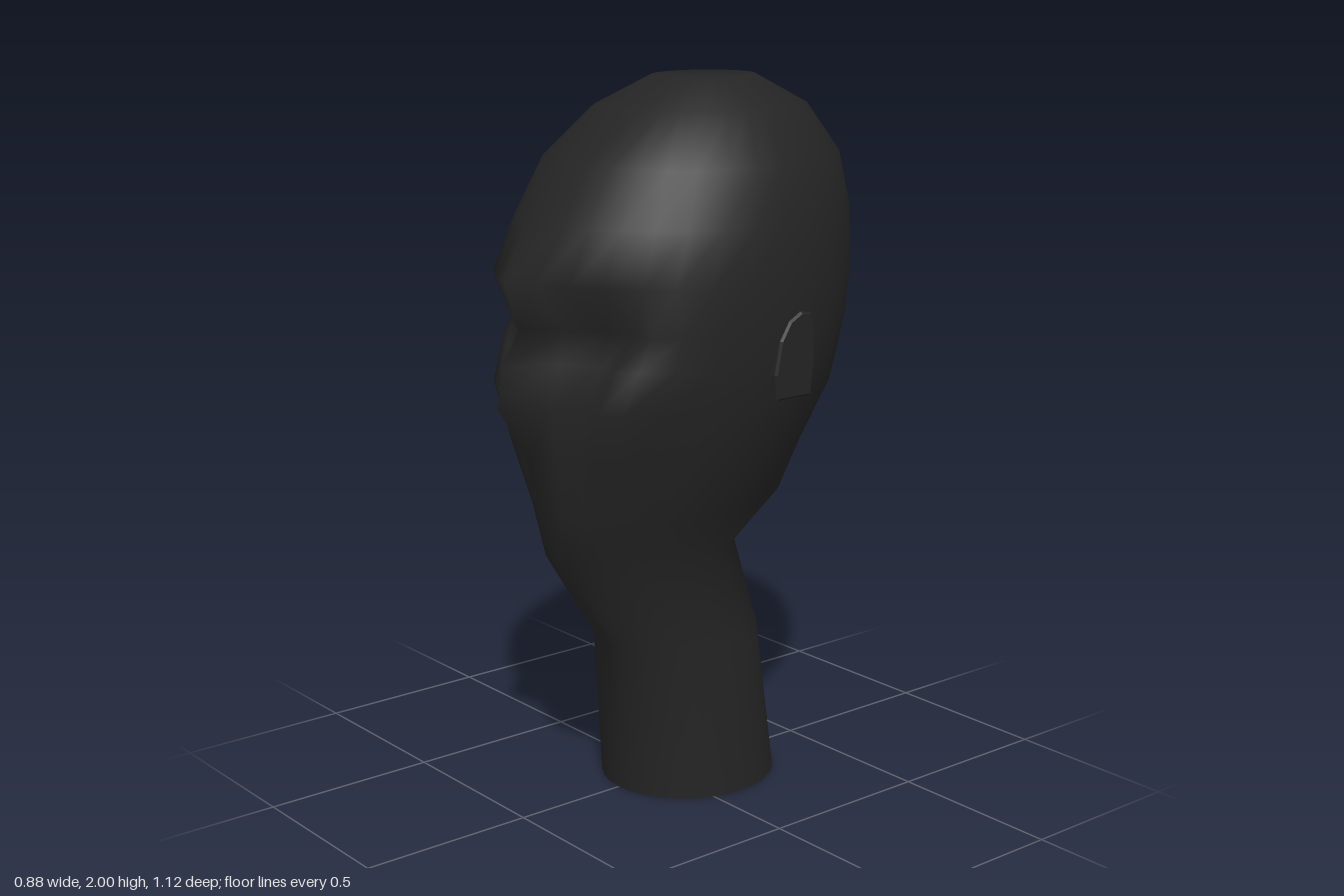
import * as THREE from 'three';

const SEG = 32;

// Head cross-sections, top to bottom: [y, half width, back z, widest z, front z, face offsets]
// Face offsets push the front columns (nose, nose side, inner eye, cheek, outer cheek, temple).
const RINGS = [
  [2.0, 0.13, -0.29, -0.14, 0.01],
  [1.92, 0.265, -0.44, -0.13, 0.18],
  [1.79, 0.37, -0.53, -0.1, 0.325],
  [1.64, 0.415, -0.56, -0.07, 0.41],
  [1.5, 0.435, -0.56, -0.05, 0.5, [0.03, 0.01, -0.01, -0.015, -0.02, 0]],
  [1.37, 0.432, -0.54, -0.05, 0.45, [0.04, -0.04, -0.09, -0.07, -0.02, 0]],
  [1.28, 0.424, -0.515, -0.05, 0.45, [0.09, -0.02, -0.07, -0.005, 0.03, 0.02]],
  [1.17, 0.405, -0.49, -0.04, 0.45, [0.11, 0, -0.02, 0.035, 0.065, 0.045]],
  [1.01, 0.35, -0.42, 0.02, 0.45, [0.01, -0.02, -0.03, 0, 0.01, 0]],
  [0.86, 0.3, -0.35, 0.025, 0.4],
  [0.71, 0.21, -0.21, 0.08, 0.375],
  [0.44, 0.215, -0.29, -0.045, 0.2],
  [0, 0.24, -0.345, -0.09, 0.165],
];

// Closed skin lofted through the cross-sections, with a fan on the crown
function headGeometry() {
  const pos = [], idx = [];
  for (const [y, w, back, mid, front, face] of RINGS) {
    for (let j = 0; j < SEG; j++) {
      const a = (j / SEG) * Math.PI * 2;
      const c = Math.cos(a);
      const column = Math.min(j, SEG - j);
      const push = face && column < face.length ? face[column] : 0;
      pos.push(w * Math.sin(a), y, mid + c * (c > 0 ? front - mid : mid - back) + push);
    }
  }
  for (let i = 0; i < RINGS.length - 1; i++) {
    for (let j = 0; j < SEG; j++) {
      const k = (j + 1) % SEG;
      const a = i * SEG + j, b = i * SEG + k;
      // mirror the diagonal so both halves of the face match
      if (j < SEG / 2) idx.push(a, a + SEG, b, b, a + SEG, b + SEG);
      else idx.push(a, a + SEG, b + SEG, a, b + SEG, b);
    }
  }
  const crown = pos.length / 3;
  pos.push(0, 2, -0.14);
  for (let j = 0; j < SEG; j++) idx.push(crown, j, (j + 1) % SEG);

  const g = new THREE.BufferGeometry();
  g.setAttribute('position', new THREE.Float32BufferAttribute(pos, 3));
  g.setIndex(idx);
  g.computeVertexNormals();
  return g;
}

// Ear outline (z, y): flat at the bottom, rounded at the top
function earGeometry() {
  const outline = [
    [-0.155, 1.18], [-0.035, 1.18], [-0.025, 1.25], [-0.04, 1.34],
    [-0.07, 1.39], [-0.11, 1.412], [-0.145, 1.405], [-0.16, 1.36], [-0.163, 1.27],
  ];
  // drawn with z negated so that turning it a quarter faces +x
  const shape = new THREE.Shape(outline.map(([z, y]) => new THREE.Vector2(-z, y)));
  const g = new THREE.ExtrudeGeometry(shape, {
    depth: 0.05, bevelEnabled: true, bevelThickness: 0.006, bevelSize: 0.006, bevelOffset: -0.006, bevelSegments: 1,
  });
  g.rotateY(Math.PI / 2);
  g.translate(0.377, 0, 0);
  // lean the top outward a little to follow the skull
  const p = g.attributes.position;
  for (let i = 0; i < p.count; i++) p.setX(i, p.getX(i) + (p.getY(i) - 1.18) * 0.03);
  g.computeVertexNormals();
  return g;
}

export function createModel() {
  const black = new THREE.MeshStandardMaterial({ color: 0x242424 });
  black.name = 'matte black';

  const model = new THREE.Group();
  model.name = 'mannequinHead';
  const add = (name, geometry) => {
    const mesh = new THREE.Mesh(geometry, black);
    mesh.name = name;
    model.add(mesh);
    return mesh;
  };

  add('headAndNeck', headGeometry());

  // Flat underside of the neck
  const base = new THREE.CircleGeometry(1, SEG);
  base.scale(0.24, 0.255, 1).rotateX(Math.PI / 2).translate(0, 0, -0.09);
  add('neckBase', base);

  // Ears, the right one turned half round to mirror the left
  add('leftEar', earGeometry());
  add('rightEar', earGeometry()).scale.x = -1;

  return model;
}
